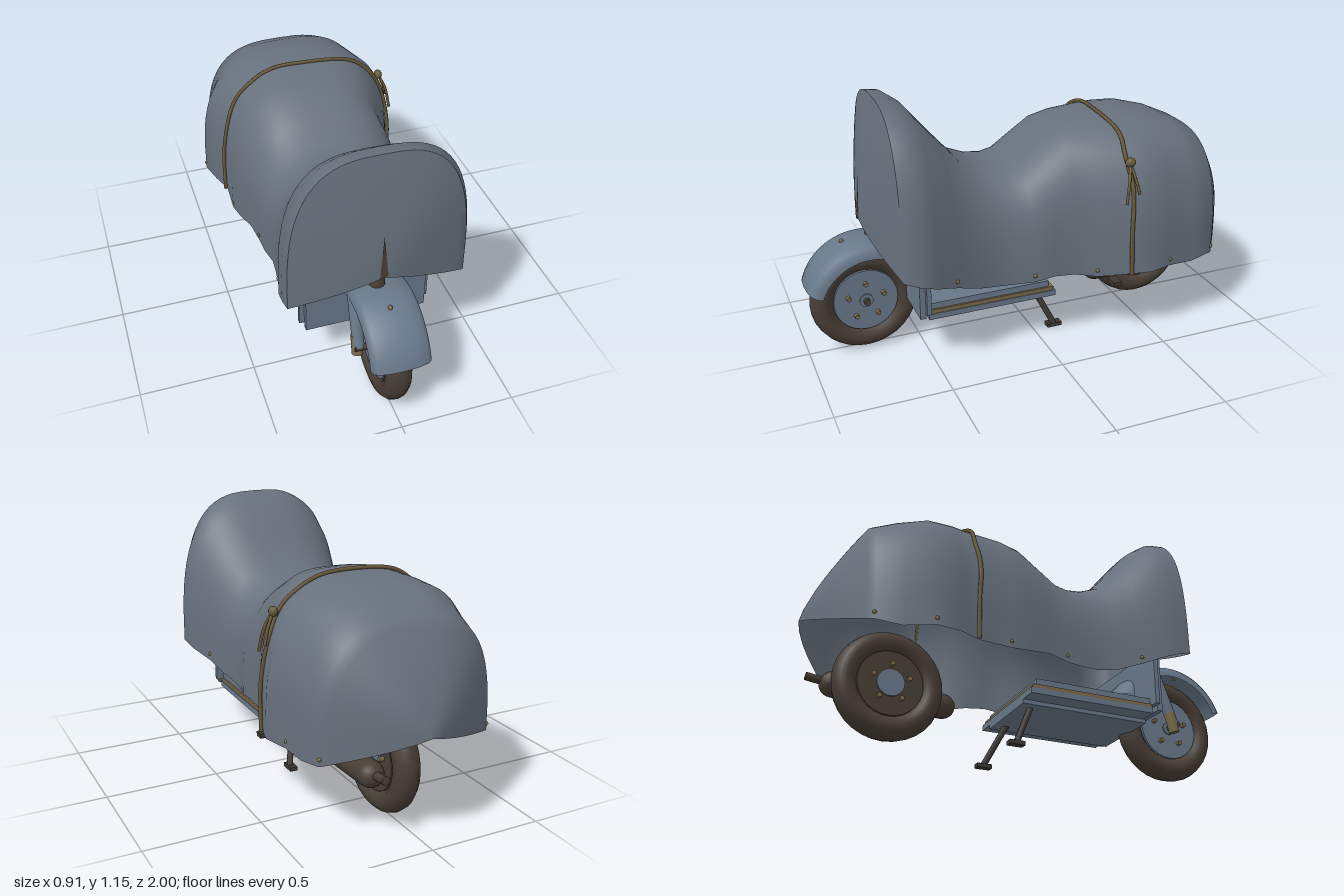
import * as THREE from 'three';
import { toCreasedNormals } from 'three/addons/utils/BufferGeometryUtils.js';

const V = (x, y, z) => new THREE.Vector3(x, y, z);
const mat = (name, color, side = THREE.FrontSide) => {
  const m = new THREE.MeshStandardMaterial({ color, side });
  m.name = name;
  return m;
};

// Cover stations: z, top, hem height, +x half width, -x half width
const STATIONS = [
  [0.655, 1.15, 0.47, 0.385, 0.38], [0.59, 1.14, 0.455, 0.42, 0.385], [0.52, 1.09, 0.43, 0.405, 0.38],
  [0.42, 0.97, 0.39, 0.355, 0.355], [0.31, 0.845, 0.35, 0.325, 0.335], [0.22, 0.81, 0.335, 0.31, 0.325],
  [0.13, 0.795, 0.33, 0.315, 0.34], [0.06, 0.81, 0.335, 0.335, 0.345], [-0.03, 0.87, 0.35, 0.345, 0.36],
  [-0.13, 0.935, 0.335, 0.335, 0.385], [-0.22, 0.955, 0.325, 0.375, 0.4], [-0.36, 0.968, 0.335, 0.425, 0.395],
  [-0.45, 0.965, 0.34, 0.45, 0.43], [-0.56, 0.955, 0.335, 0.415, 0.455], [-0.68, 0.925, 0.33, 0.405, 0.405],
  [-0.79, 0.875, 0.345, 0.385, 0.385],
];
const COLS = 36;

// One draped arch, from the +x hem over the top to the -x hem
function arch([z, top, hem, right, left], grow = 0) {
  const pts = [];
  for (let j = 0; j <= COLS; j++) {
    const t = (j / COLS) * Math.PI, c = Math.cos(t);
    const f = Math.sign(c) * Math.pow(Math.abs(c), 0.667);
    const h = Math.pow(Math.max(0, Math.sin(t)), 0.667);
    pts.push(V(f * ((c > 0 ? right : left) + grow), hem + (top + grow - hem) * h, z));
  }
  return pts;
}

// Shrinks an end arch towards the point of the hem
function capRow(row, tip, s, power) {
  const k = 1 - Math.pow(s, power);
  return row.map(p => V(tip.x + (p.x - tip.x) * s, tip.y + (p.y - tip.y) * s, p.z + (tip.z - p.z) * k));
}

function coverGeometry() {
  const body = STATIONS.map(s => arch(s));
  const steps = [0.003, 0.15, 0.35, 0.55, 0.75, 0.9];
  const front = steps.map(s => capRow(body[0], V(0, 0.61, 0.74), s, 1.5));
  const back = [...steps].reverse().map(s => capRow(body[body.length - 1], V(0.02, 0.47, -1), s, 1.35));
  const rows = [...front, ...body, ...back], pos = [], idx = [];
  rows.forEach(r => r.forEach(p => pos.push(p.x, p.y, p.z)));
  for (let i = 0; i < rows.length - 1; i++) {
    for (let j = 0; j < COLS; j++) {
      const a = i * (COLS + 1) + j, b = a + 1, c = a + COLS + 1, d = c + 1;
      idx.push(a, c, b, b, c, d);
    }
  }
  const g = new THREE.BufferGeometry();
  g.setAttribute('position', new THREE.Float32BufferAttribute(pos, 3));
  g.setIndex(idx);
  return toCreasedNormals(g, 0.8);
}

export function createModel() {
  const root = new THREE.Group();
  root.name = 'coveredScooter';
  const cloth = mat('cover cloth', 0x67717d, THREE.DoubleSide);
  const paint = mat('blue grey paint', 0x687889, THREE.DoubleSide);
  const rubber = mat('dark brown', 0x483e35);
  const iron = mat('dark iron', 0x3c3835);
  const rope = mat('rope', 0x685839);
  const brass = mat('dull brass', 0x7a6a48);

  const add = (name, geo, material, x = 0, y = 0, z = 0, parent = root) => {
    const m = new THREE.Mesh(geo, material);
    m.name = name;
    m.position.set(x, y, z);
    parent.add(m);
    return m;
  };
  const box = (name, m, x0, x1, y0, y1, z0, z1) =>
    add(name, new THREE.BoxGeometry(x1 - x0, y1 - y0, z1 - z0), m, (x0 + x1) / 2, (y0 + y1) / 2, (z0 + z1) / 2);
  const rod = (name, m, a, b, r, sides = 12) => {
    const mesh = add(name, new THREE.CylinderGeometry(r, r, a.distanceTo(b), sides), m);
    mesh.position.copy(a).lerp(b, 0.5);
    mesh.quaternion.setFromUnitVectors(V(0, 1, 0), b.clone().sub(a).normalize());
    return mesh;
  };
  const tube = (name, m, pts, r, n = 24) =>
    add(name, new THREE.TubeGeometry(new THREE.CatmullRomCurve3(pts), n, r, 6), m);
  const disc = (r, w) => new THREE.CylinderGeometry(r, r, w, 28).rotateZ(Math.PI / 2);

  // Cloth cover with the open slit at the nose
  add('cover', coverGeometry(), cloth);
  const slit = new THREE.BufferGeometry();
  slit.setAttribute('position', new THREE.Float32BufferAttribute(
    [-0.022, 0.612, 0.742, 0.014, 0.612, 0.742, -0.006, 0.81, 0.73], 3));
  slit.computeVertexNormals();
  add('coverSlit', slit, rubber);

  // Small eyelets along the hem
  for (const i of [3, 7, 10, 13, 15]) {
    const [z, , hem, right, left] = STATIONS[i];
    for (const x of [right, -left]) add('eyelet', new THREE.SphereGeometry(0.009, 8, 6), brass, x * 0.995, hem + 0.03, z);
  }

  // Rope over the seat, its knot and loose ends
  const ropePath = arch(STATIONS[11], 0.007).filter((p, j) => j % 2 === 0);
  ropePath.forEach((p, j) => { p.z += 0.006 * Math.sin(j * 1.7); });
  tube('rope', rope, ropePath, 0.009, 70);
  const knot = add('ropeKnot', new THREE.SphereGeometry(0.024, 10, 8), rope, 0.37, 0.84, -0.36);
  knot.scale.set(0.8, 0.9, 1);
  for (const [dz, y] of [[0.035, 0.67], [-0.025, 0.71]]) {
    tube('ropeEnd', rope, [V(0.37, 0.84, -0.36), V(0.402, 0.77, -0.36 + dz * 0.5), V(0.42, y, -0.36 + dz)], 0.007, 10);
  }

  // Wheels
  for (const [name, z, isFront] of [['frontWheel', 0.74, true], ['rearWheel', -0.61, false]]) {
    const w = new THREE.Group();
    w.name = name;
    w.position.set(0, 0.24, z);
    root.add(w);
    const tyre = new THREE.TorusGeometry(0.187, 0.053, 12, 32).rotateY(Math.PI / 2).scale(1.08, 1, 1);
    add('tyre', tyre, rubber, 0, 0, 0, w);
    add('rimDisc', disc(0.143, 0.085), isFront ? paint : rubber, 0, 0, 0, w);
    add('hub', disc(isFront ? 0.03 : 0.06, 0.1), paint, 0, 0, 0, w);
    for (let k = 0; k < 5; k++) {
      const a = (k / 5) * Math.PI * 2 + Math.PI / 2;
      add('wheelNuts', disc(0.01, 0.125), brass, 0, 0.082 * Math.sin(a), 0.082 * Math.cos(a), w);
    }
  }

  // Front mudguard swept around the wheel
  const guard = [[0.225, -0.125], [0.255, -0.123], [0.273, -0.105], [0.285, -0.06], [0.289, 0],
    [0.285, 0.06], [0.273, 0.105], [0.255, 0.123], [0.225, 0.125]].map(p => new THREE.Vector2(p[0], p[1]));
  const rad = Math.PI / 180;
  add('frontMudguard', new THREE.LatheGeometry(guard, 24, -157 * rad, 138 * rad).rotateZ(-Math.PI / 2), paint, 0, 0.245, 0.725);
  add('mudguardStud', new THREE.SphereGeometry(0.01, 8, 6), brass, -0.005, 0.52, 0.82);

  // Steering column and fork
  rod('steeringColumn', rubber, V(-0.01, 0.5, 0.69), V(-0.01, 0.64, 0.66), 0.032);
  rod('forkLeg', paint, V(-0.1, 0.24, 0.73), V(-0.1, 0.6, 0.6), 0.026);
  rod('forkSpring', brass, V(-0.105, 0.2, 0.73), V(-0.105, 0.29, 0.71), 0.024);
  rod('frontAxle', rubber, V(-0.12, 0.24, 0.74), V(0.07, 0.24, 0.74), 0.014);

  // Leg shield and footboard
  box('legShield', paint, -0.298, 0.285, 0.245, 0.5, 0.515, 0.535);
  box('legShieldPanel', paint, -0.276, 0.264, 0.22, 0.48, 0.535, 0.56);
  box('footboardTop', paint, -0.25, 0.25, 0.252, 0.28, -0.04, 0.52);
  box('footboardTrim', brass, -0.258, 0.258, 0.234, 0.252, -0.06, 0.52);
  box('footboardBase', paint, -0.262, 0.262, 0.208, 0.234, -0.07, 0.52);
  box('footboardUnderside', paint, -0.18, 0.18, 0.19, 0.208, -0.07, 0.53);

  // Centre stand
  for (const s of [-1, 1]) {
    rod('standLeg', iron, V(s * 0.125, 0.2, -0.01), V(s * 0.18, 0.012, -0.1), 0.014, 8);
    box('standFoot', iron, s * 0.175 - 0.018, s * 0.175 + 0.018, 0, 0.018, -0.135, -0.065);
  }

  // Exhaust
  const silencer = add('silencer', new THREE.CapsuleGeometry(0.056, 0.5, 6, 16).rotateX(Math.PI / 2), rubber, 0.17, 0.268, -0.555);
  silencer.rotation.x = 0.04;
  rod('tailPipe', rubber, V(0.17, 0.285, -0.83), V(0.17, 0.297, -0.92), 0.018);
  tube('exhaustPipe', rubber, [V(0.17, 0.27, -0.32), V(0.15, 0.33, -0.34), V(0.08, 0.36, -0.42), V(0.02, 0.3, -0.58)], 0.018);
  add('exhaustClamp', new THREE.SphereGeometry(0.018, 8, 6), brass, 0.21, 0.3, -0.32);

  // Kick starter
  tube('kickLever', brass, [V(0.2, 0.38, -0.38), V(0.33, 0.35, -0.33), V(0.352, 0.29, -0.3)], 0.011, 10);
  box('kickPedal', iron, 0.35, 0.417, 0.281, 0.301, -0.32, -0.28);

  return root;
}
